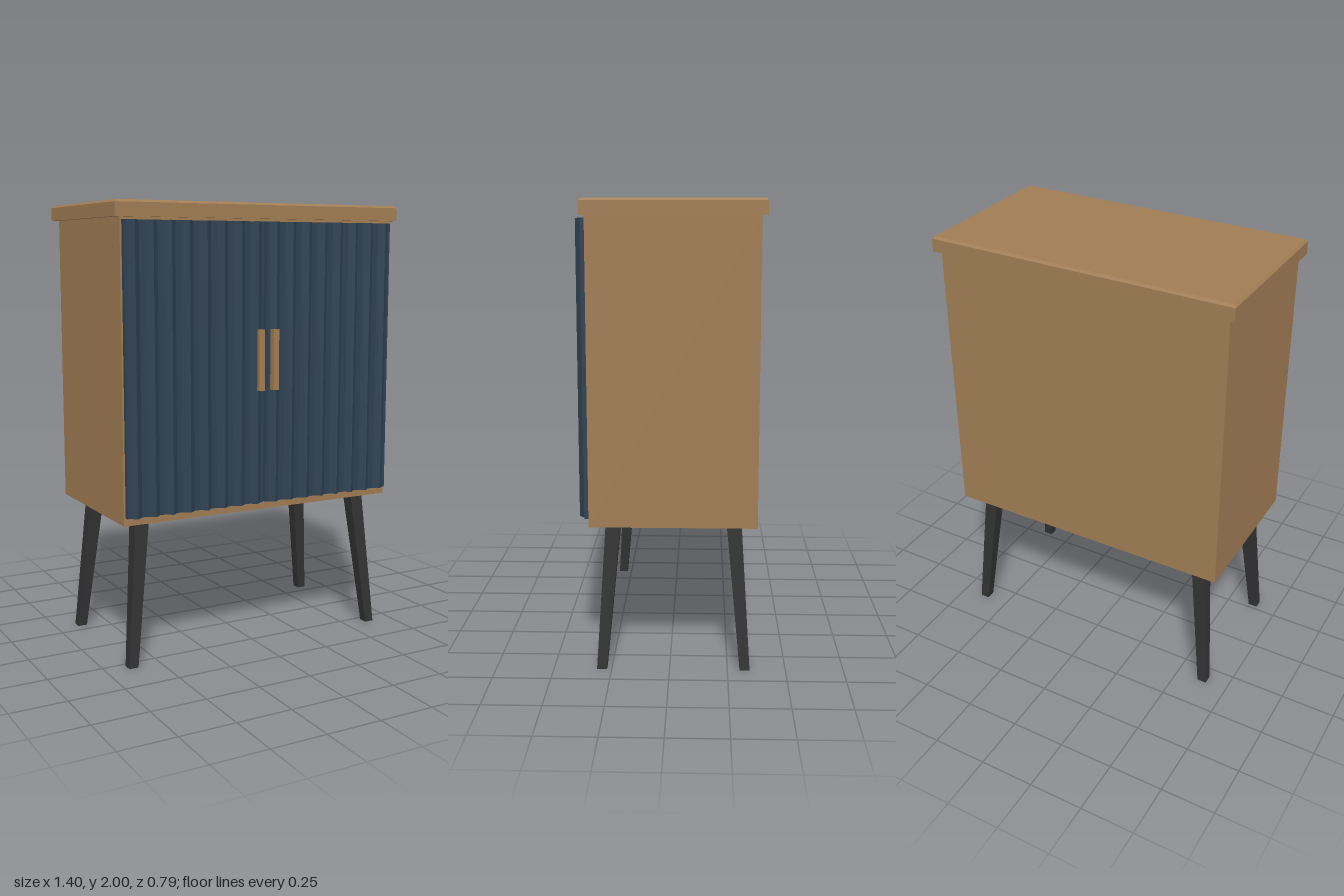
import * as THREE from 'three';

const wood = new THREE.MeshStandardMaterial({ color: 0xa07c53 });
wood.name = 'warm wood';
const navy = new THREE.MeshStandardMaterial({ color: 0x2f4152 });
navy.name = 'navy paint';
const black = new THREE.MeshStandardMaterial({ color: 0x323232 });
black.name = 'black leg';

function add(group, name, geometry, material) {
  const mesh = new THREE.Mesh(geometry, material);
  mesh.name = name;
  group.add(mesh);
  return mesh;
}

// Box from its lower and upper corners
function boxBetween(x0, y0, z0, x1, y1, z1) {
  return new THREE.BoxGeometry(x1 - x0, y1 - y0, z1 - z0)
    .translate((x0 + x1) / 2, (y0 + y1) / 2, (z0 + z1) / 2);
}

// Flat-faced solid through rectangular sections, listed from bottom to top
function loftRects(sections) {
  const rings = sections.map(({ x, y, z, w, d }) =>
    [[-1, 1], [1, 1], [1, -1], [-1, -1]].map(([sx, sz]) => [x + sx * w / 2, y, z + sz * d / 2]));
  const pos = [];
  const quad = (a, b, c, d) => pos.push(...a, ...b, ...c, ...a, ...c, ...d);
  for (let i = 0; i < rings.length - 1; i++) {
    for (let k = 0; k < 4; k++) {
      const n = (k + 1) % 4;
      quad(rings[i][k], rings[i][n], rings[i + 1][n], rings[i + 1][k]);
    }
  }
  quad(...[...rings[0]].reverse());
  quad(...rings[rings.length - 1]);
  const geometry = new THREE.BufferGeometry();
  geometry.setAttribute('position', new THREE.Float32BufferAttribute(pos, 3));
  geometry.computeVertexNormals();
  return geometry;
}

// Door panel with triangular vertical ribs, extruded upwards
function flutedDoor(side) {
  const inner = 0.005, outer = 0.667, ribs = 8;
  const back = 0.335, face = 0.356, peak = 0.379, half = 0.027;
  const pitch = (outer - inner) / ribs;
  const points = [[inner, back], [inner, face]];
  for (let i = 0; i < ribs; i++) {
    const x = inner + (i + 0.5) * pitch;
    points.push([x - half, face], [x, peak], [x + half, face]);
  }
  points.push([outer, face], [outer, back]);
  const shape = new THREE.Shape(points.map(([x, z]) => new THREE.Vector2(side * x, -z)));
  return new THREE.ExtrudeGeometry(shape, { depth: 1.24, bevelEnabled: false })
    .rotateX(-Math.PI / 2).translate(0, 0.68, 0);
}

export function createModel() {
  const model = new THREE.Group();
  model.name = 'cabinet';

  // Carcass
  add(model, 'body', boxBetween(-0.675, 0.645, -0.37, 0.675, 1.935, 0.338), wood);

  // Top board with a small chamfer on its upper edge
  const z = -0.018;
  add(model, 'topBoard', loftRects([
    { x: 0, y: 1.932, z, w: 1.404, d: 0.75 },
    { x: 0, y: 1.99, z, w: 1.404, d: 0.75 },
    { x: 0, y: 2, z, w: 1.384, d: 0.73 },
  ]), wood);

  for (const side of [1, -1]) {
    const label = side > 0 ? 'left' : 'right';

    // Fluted door and its bar handle
    add(model, label + 'Door', flutedDoor(side), navy);
    add(model, label + 'Handle', new THREE.BoxGeometry(0.028, 0.268, 0.028)
      .translate(side * 0.036, 1.323, 0.38), wood);

    // Splayed, tapered square legs
    for (const end of [1, -1]) {
      add(model, label + (end > 0 ? 'Front' : 'Back') + 'Leg', loftRects([
        { x: side * 0.628, y: 0, z: -0.016 + end * 0.308, w: 0.043, d: 0.043 },
        { x: side * 0.562, y: 0.65, z: -0.016 + end * 0.257, w: 0.064, d: 0.064 },
      ]), black);
    }
  }
  return model;
}
